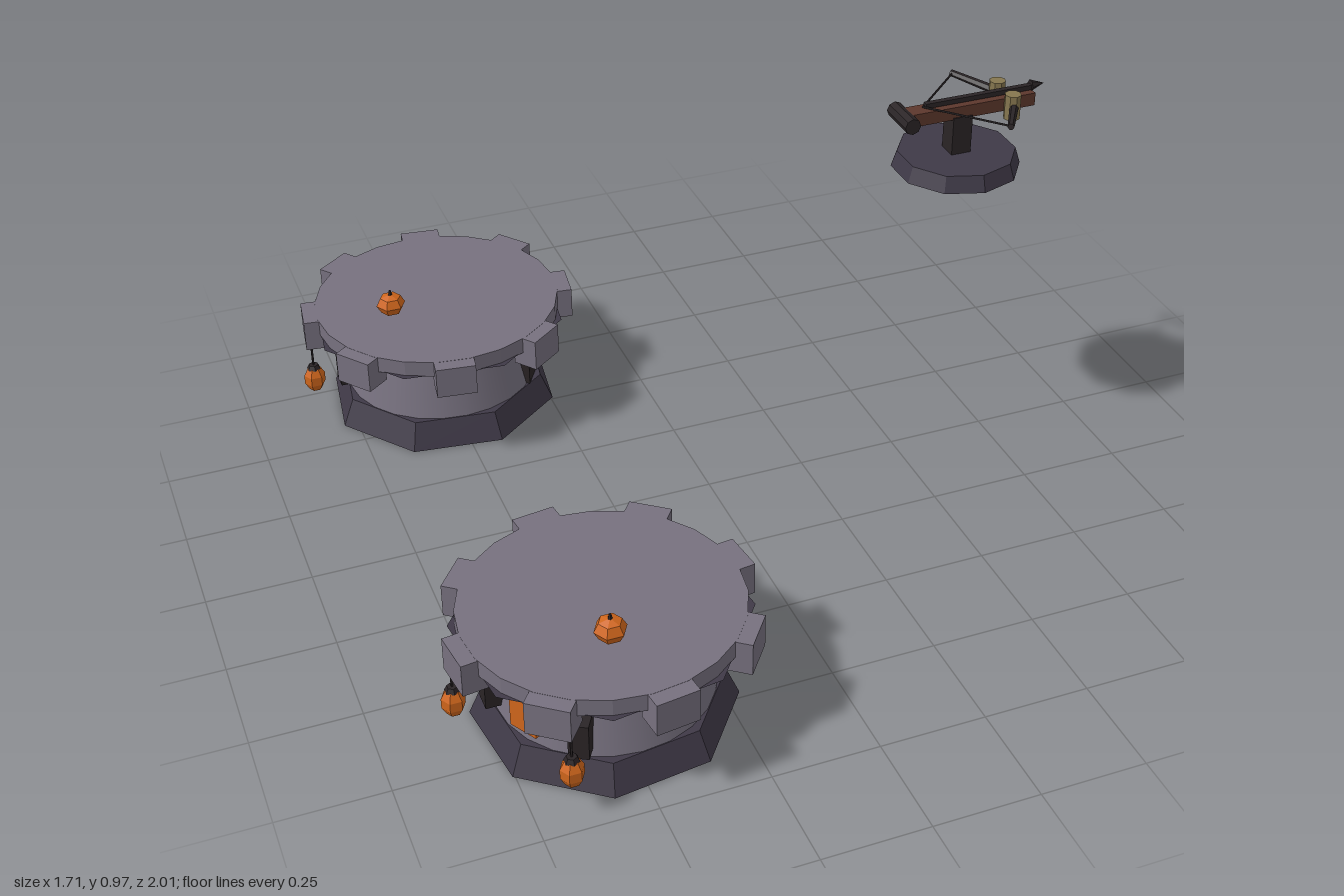
import * as THREE from 'three';

const mat = (color, flat = true) => new THREE.MeshStandardMaterial({ color, flatShading: flat });
const stone = mat(0x77717f), wallStone = mat(0x77717f, false), dark = mat(0x3f3947), black = mat(0x2a2426),
  orange = mat(0xd0661c), wood = mat(0x5c372c), rope = mat(0x85764f);

function add(parent, name, geometry, material, x = 0, y = 0, z = 0) {
  const mesh = new THREE.Mesh(geometry, material);
  mesh.name = name;
  mesh.position.set(x, y, z);
  parent.add(mesh);
  return mesh;
}
const box = (x, y, z) => new THREE.BoxGeometry(x, y, z);
const cyl = (top, bottom, h, sides) => new THREE.CylinderGeometry(top, bottom, h, sides);

// Thin round bar between two points
function bar(parent, name, a, b, r0, r1, material) {
  const from = new THREE.Vector3(...a), to = new THREE.Vector3(...b);
  const dir = to.clone().sub(from);
  const mesh = add(parent, name, cyl(r1, r0, dir.length(), 6), material);
  mesh.position.copy(from).add(to).multiplyScalar(0.5);
  mesh.quaternion.setFromUnitVectors(new THREE.Vector3(0, 1, 0), dir.normalize());
}

// Group turned so that its +x axis points outward at the given angle
function spoke(parent, name, angle) {
  const group = new THREE.Group();
  group.name = name;
  group.rotation.y = angle;
  parent.add(group);
  return group;
}

function pumpkin(parent, x, z) {
  const group = new THREE.Group();
  group.name = 'pumpkin';
  group.position.set(x, 0.318, z);
  parent.add(group);
  add(group, 'pumpkinBody', new THREE.SphereGeometry(0.037, 6, 4), orange).scale.y = 0.78;
  add(group, 'pumpkinStem', cyl(0.003, 0.006, 0.016, 5), black, 0, 0.031, 0);
}

// Round tower; its banner side faces local +x
function tower(z, angle) {
  const group = spoke(new THREE.Group(), 'tower', angle);
  group.position.set(-0.5, 0, z);
  add(group, 'towerBase', cyl(0.265, 0.295, 0.07, 8), dark, 0, 0.035, 0);
  add(group, 'towerWall', cyl(0.215, 0.246, 0.14, 24), wallStone, 0, 0.135, 0);
  add(group, 'corbel', cyl(0.328, 0.24, 0.045, 8), dark, 0, 0.2225, 0);
  add(group, 'platform', cyl(0.312, 0.312, 0.042, 24), stone, 0, 0.264, 0);

  // Battlement blocks around the rim
  for (let i = 0; i < 8; i++) {
    const arm = spoke(group, 'battlement', (i + 0.5) * Math.PI / 4);
    add(arm, 'battlementBlock', box(0.066, 0.08, 0.1), stone, 0.312, 0.2445, 0);
  }

  // Door at the back, banner at the front
  add(group, 'door', box(0.03, 0.105, 0.095), black, -0.233, 0.123, 0);
  add(group, 'banner', box(0.012, 0.105, 0.072), orange, 0.25, 0.152, 0);

  // Window slits with hanging lanterns either side of the banner
  for (const s of [-1, 1]) {
    const arm = spoke(group, 'lanternSide', s * Math.PI / 6);
    add(arm, 'windowSlit', box(0.05, 0.088, 0.045), black, 0.247, 0.132, 0);
    add(arm, 'lantern', new THREE.SphereGeometry(0.028, 6, 5), orange, 0.335, 0.114, 0).scale.y = 1.35;
    add(arm, 'lanternCap', cyl(0.012, 0.018, 0.012, 6), black, 0.335, 0.149, 0);
    add(arm, 'lanternCord', cyl(0.003, 0.003, 0.06, 5), black, 0.335, 0.18, 0);
  }
  return group;
}

// Crossbow-like engine on a round stand, aimed along +x
function ballista() {
  const group = new THREE.Group();
  group.name = 'ballista';
  group.position.set(0.63, 0.78, 0);
  add(group, 'stand', cyl(0.142, 0.155, 0.04, 10), dark, 0, 0.02, 0);
  add(group, 'post', box(0.05, 0.1, 0.05), black, 0, 0.086, 0);
  add(group, 'stock', box(0.34, 0.032, 0.044), wood, 0.02, 0.147, 0);
  add(group, 'winch', cyl(0.02, 0.02, 0.1, 8), black, -0.143, 0.148, 0).rotation.x = Math.PI / 2;
  add(group, 'boltShaft', box(0.28, 0.012, 0.014), black, 0.05, 0.171, 0);
  add(group, 'boltTip', new THREE.ConeGeometry(0.014, 0.036, 6), black, 0.205, 0.174, 0).rotation.z = -Math.PI / 2;
  for (const s of [-1, 1]) {
    add(group, 'ropeBundle', cyl(0.02, 0.02, 0.062, 8), rope, 0.12, 0.15, s * 0.039);
    bar(group, 'bowArm', [0.125, 0.15, s * 0.04], [0.055, 0.161, s * 0.153], 0.011, 0.008, black);
    bar(group, 'bowString', [0.058, 0.161, s * 0.15], [-0.095, 0.168, 0], 0.0025, 0.0025, black);
  }
  return group;
}

export function createModel() {
  const model = new THREE.Group();
  model.name = 'fortifications';
  model.add(tower(-0.655, Math.PI * 5 / 6), tower(0.655, Math.PI * 7 / 6), ballista());
  pumpkin(model, -0.63, -0.61);
  pumpkin(model, -0.525, 0.785);
  return model;
}
